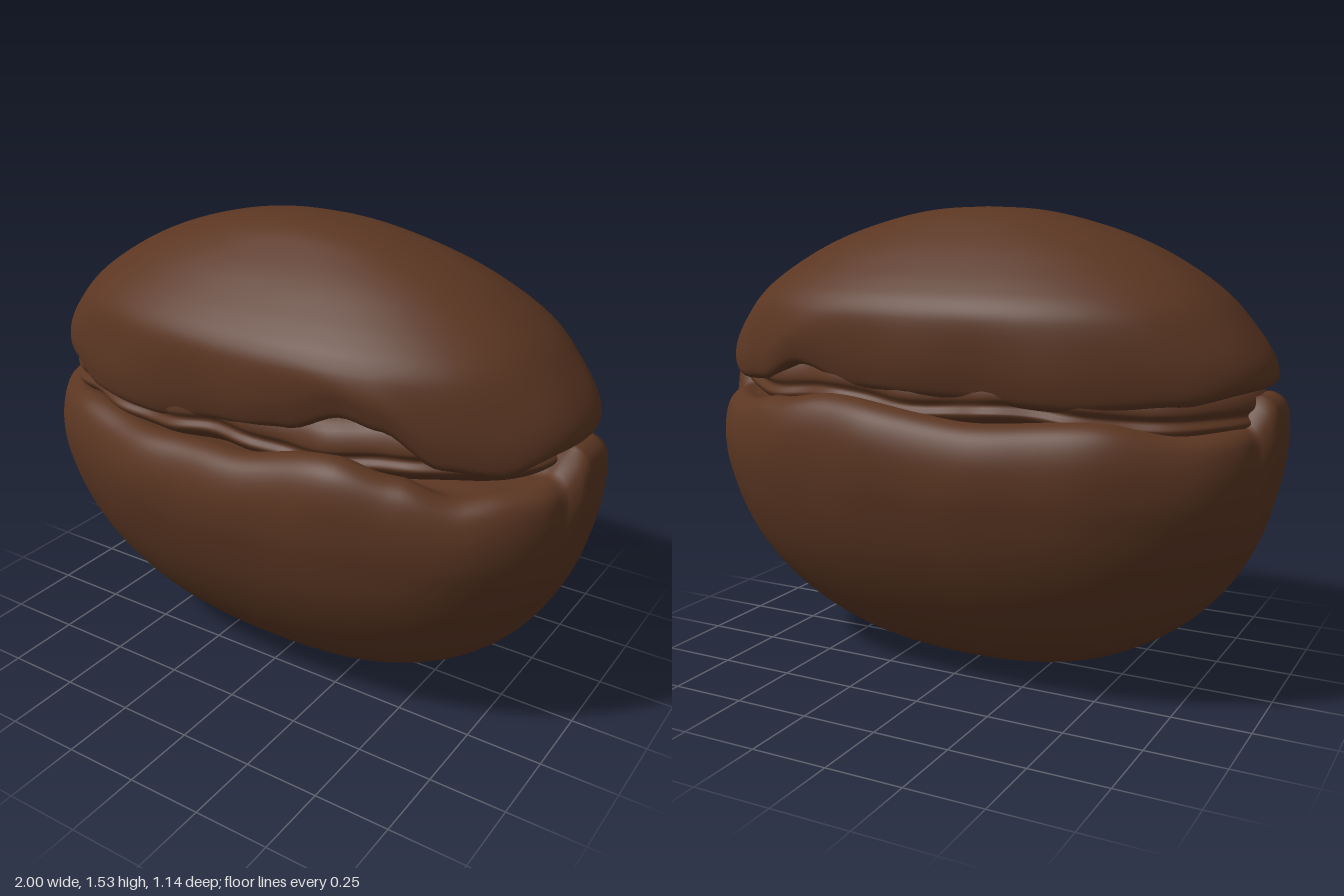
import * as THREE from 'three';

const SEGMENTS = 192;
const smooth = THREE.MathUtils.smoothstep;

// Smooth height curve along the bean, from [x, y] points
function heightCurve(points) {
  return (x) => {
    if (x <= points[0][0]) return points[0][1];
    for (let i = 1; i < points.length; i++) {
      const [x0, y0] = points[i - 1], [x1, y1] = points[i];
      if (x <= x1) return y0 + (y1 - y0) * smooth(x, x0, x1);
    }
    return points[points.length - 1][1];
  };
}

// Loft of oval rings; profile rows are [y, half length, half width], bottom to top.
// deform receives the point, its place along the length (-1 to 1) and the sine of its angle.
function loft(profile, power, rings, deform) {
  const curve = new THREE.CatmullRomCurve3(profile.map((p) => new THREE.Vector3(...p)));
  const positions = [], index = [];
  const p = new THREE.Vector3();
  for (let i = 0; i <= rings; i++) {
    const [y, rx, rz] = curve.getPoint(i / rings).toArray();
    for (let j = 0; j < SEGMENTS; j++) {
      const a = (j / SEGMENTS) * Math.PI * 2;
      const c = Math.cos(a), s = Math.sin(a);
      const u = Math.sign(c) * Math.abs(c) ** (2 / power);
      const v = Math.sign(s) * Math.abs(s) ** (2 / power);
      p.set(Math.max(rx, 0.001) * u, y, Math.max(rz, 0.001) * v);
      deform(p, u, s);
      positions.push(p.x, p.y, p.z);
      if (i === rings) continue;
      const k = i * SEGMENTS, n = (j + 1) % SEGMENTS;
      const q = k + j, r = k + n;
      index.push(q, q + SEGMENTS, r, r, q + SEGMENTS, r + SEGMENTS);
    }
  }
  const geometry = new THREE.BufferGeometry();
  geometry.setAttribute('position', new THREE.Float32BufferAttribute(positions, 3));
  geometry.setIndex(index);
  geometry.computeVertexNormals();
  return geometry;
}

// Blend a front and a back curve around the bean
const around = (front, back) => (u, s) =>
  THREE.MathUtils.lerp(back(u), front(u), smooth(s, -0.25, 0.25));

export function createModel() {
  const model = new THREE.Group();
  model.name = 'bean';
  const brown = new THREE.MeshStandardMaterial({ color: 0x5b3622 });
  brown.name = 'roasted brown';
  const add = (name, geometry) => {
    const mesh = new THREE.Mesh(geometry, brown);
    mesh.name = name;
    model.add(mesh);
  };

  const rim = around(
    heightCurve([[-1, 0.89], [-0.88, 0.875], [-0.68, 0.905], [-0.4, 0.885], [0, 0.9], [0.4, 0.96],
      [0.6, 0.92], [0.77, 0.875], [0.9, 0.89], [1, 0.9]]),
    heightCurve([[-1, 0.89], [-0.85, 0.88], [-0.6, 0.92], [-0.2, 0.9], [0.35, 0.95],
      [0.6, 0.92], [0.8, 0.89], [1, 0.9]]));
  const lip = around(
    heightCurve([[-1, 0.995], [-0.82, 0.975], [-0.66, 0.92], [-0.35, 0.925], [0, 0.975], [0.2, 1],
      [0.4, 1.07], [0.52, 1.05], [0.7, 0.95], [0.85, 0.935], [1, 0.995]]),
    heightCurve([[-1, 0.995], [-0.8, 0.96], [-0.5, 0.94], [-0.1, 0.96], [0.25, 0.97],
      [0.5, 1.03], [0.7, 0.96], [0.85, 0.95], [1, 0.995]]));

  // Large lower half: rounded hull, rolled rim and a folded tab at each end
  add('lowerHalf', loft([
    [0, 0, 0], [0.004, 0.1, 0.05], [0.02, 0.24, 0.11], [0.05, 0.38, 0.175], [0.1, 0.52, 0.25],
    [0.2, 0.69, 0.35], [0.3, 0.8, 0.42], [0.4, 0.875, 0.475], [0.5, 0.925, 0.517],
    [0.6, 0.958, 0.547], [0.7, 0.978, 0.566], [0.8, 0.98, 0.562], [0.87, 0.965, 0.532],
    [0.9, 0.925, 0.485], [0.89, 0.87, 0.43], [0.86, 0.6, 0.32], [0.84, 0, 0],
  ], 2.35, 96, (p, u, s) => {
    const high = smooth(p.y, 0.5, 0.86);
    const tab = 1 - smooth(Math.abs(s), 0.1, 0.18);
    const groove = smooth(Math.abs(s), 0.1, 0.18) * (1 - smooth(Math.abs(s), 0.18, 0.32));
    const edge = smooth(Math.abs(p.x), 0.55, 0.85);
    p.x *= 1 + high * (0.022 * tab - 0.008 * groove);
    p.y += high * (rim(u, s) - 0.9 + 0.085 * tab * edge);
    p.z *= 1 + high * 0.008 * Math.sin(u * 17 + s);
  }));

  // Smaller upper half: full dome with a wavy lip turned under
  add('upperHalf', loft([
    [1.03, 0, 0], [1.02, 0.6, 0.28], [0.99, 0.87, 0.39], [0.97, 0.935, 0.435],
    [0.985, 0.96, 0.457], [1.03, 0.957, 0.472], [1.1, 0.925, 0.482], [1.2, 0.855, 0.478],
    [1.25, 0.81, 0.455], [1.3, 0.75, 0.41], [1.35, 0.675, 0.355], [1.4, 0.585, 0.295],
    [1.45, 0.465, 0.225], [1.5, 0.29, 0.145], [1.522, 0.16, 0.085], [1.53, 0, 0],
  ], 2.35, 90, (p, u, s) => {
    const low = 1 - smooth(p.y, 1.0, 1.24);
    p.y += low * (lip(u, s) - 0.97);
    p.z *= 1 + low * 0.012 * Math.sin(u * 13 + 1);
  }));

  // Crumpled layer showing through the split
  add('innerFold', loft([
    [0.8, 0, 0], [0.82, 0.65, 0.3], [0.88, 0.88, 0.42], [0.92, 0.92, 0.46], [0.945, 0.905, 0.445],
    [0.97, 0.92, 0.455], [1.02, 0.89, 0.44], [1.08, 0.65, 0.34], [1.1, 0, 0],
  ], 2.35, 45, (p, u, s) => {
    p.x -= 0.015;
    p.y += 0.02 * u + 0.012 * Math.sin(u * 9 + s * 2);
    p.z *= 1 + 0.02 * Math.sin(u * 21);
  }));

  return model;
}
